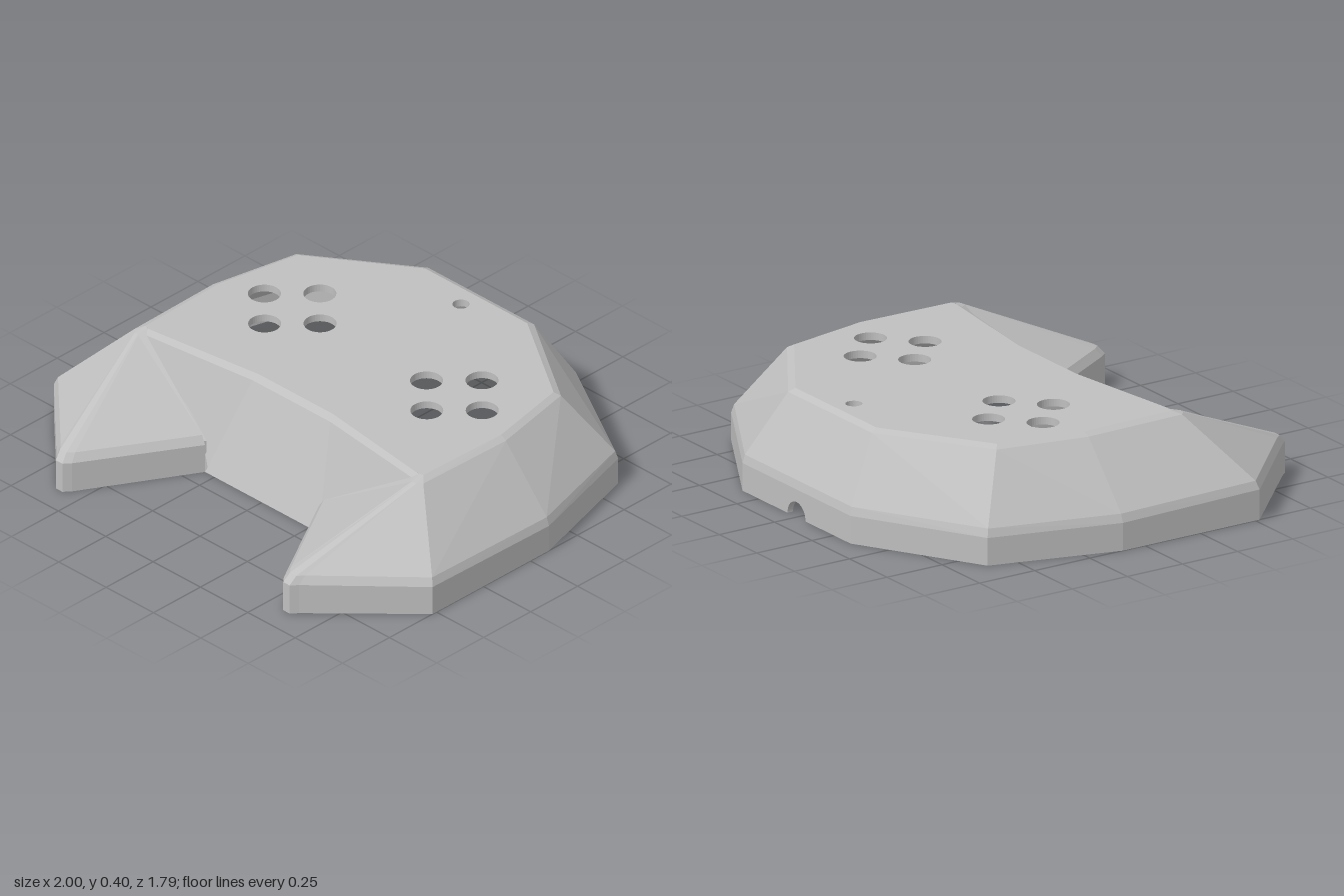
import * as THREE from 'three';

const TOP = 0.4, PLATE = 0.03;

// Half outline from back to front: [base x, base z, shoulder y, top x, top z]
const OUTER = [
  [0.36, -0.9, 0.13, 0.275, -0.74],
  [0.855, -0.615, 0.13, 0.69, -0.46],
  [1, -0.1, 0.13, 0.76, -0.1],
  [1, 0.52, 0.14, 0.75, 0.32],
  [0.64, 0.868, 0.145, 0.75, 0.32],
  [0.617, 0.895, 0.145, 0.745, 0.32],
  [0.583, 0.895, 0.145, 0.735, 0.32],
  [0.56, 0.868, 0.145, 0.73, 0.325],
  [0.3, 0.42, 0.14, 0.72, 0.325],
  [0.3, 0.42, 0, 0.2, 0.255],
];
const INNER = [
  [0.352, -0.875, 0.12, 0.265, -0.72],
  [0.838, -0.597, 0.12, 0.675, -0.45],
  [0.976, -0.1, 0.12, 0.74, -0.1],
  [0.976, 0.51, 0.12, 0.725, 0.3],
  [0.62, 0.845, 0.12, 0.725, 0.3],
  [0.61, 0.862, 0.12, 0.725, 0.3],
  [0.59, 0.862, 0.12, 0.72, 0.3],
  [0.58, 0.845, 0.12, 0.715, 0.3],
  [0.317, 0.396, 0.12, 0.7, 0.3],
  [0.317, 0.396, 0, 0.2, 0.232],
];

const mirrored = (half) => [...half, ...half.map(([bx, bz, s, tx, tz]) => [-bx, bz, s, -tx, tz]).reverse()];
const inset = (x, z) => [x * 0.98, -0.2 + (z + 0.2) * 0.965];

// Points up the wall at one outline corner, with narrow chamfers at shoulder and top
function outerProfile([bx, bz, s, tx, tz]) {
  const base = new THREE.Vector3(bx, 0, bz);
  const shoulder = new THREE.Vector3(bx, s, bz);
  const top = new THREE.Vector3(tx, TOP, tz);
  const [ix, iz] = inset(tx, tz);
  return [
    base,
    new THREE.Vector3(bx, Math.max(0, s - 0.02), bz),
    shoulder.clone().lerp(top, 0.05),
    shoulder.clone().lerp(top, 0.95),
    new THREE.Vector3(ix, TOP, iz),
  ];
}

function innerProfile([bx, bz, s, tx, tz]) {
  return [
    new THREE.Vector3(bx, 0, bz),
    new THREE.Vector3(bx, s, bz),
    new THREE.Vector3(tx, TOP - PLATE, tz),
  ];
}

function trianglesToGeometry(tris) {
  const g = new THREE.BufferGeometry().setFromPoints(tris);
  g.computeVertexNormals();
  return g;
}

// Skins neighbouring profiles; the lowest back panel is left open for the cable panel
function skin(profiles, flip) {
  const tris = [], n = profiles.length;
  const add = (a, b, c) => tris.push(...(flip ? [a, c, b] : [a, b, c]));
  for (let i = 0; i < n; i++) {
    const p = profiles[i], q = profiles[(i + 1) % n];
    for (let k = i === n - 1 ? 1 : 0; k < p.length - 1; k++) {
      const a = p[k], b = p[k + 1], c = q[k + 1], d = q[k];
      if (i < n / 2) { add(a, b, d); add(b, c, d); }
      else { add(a, b, c); add(a, c, d); }
    }
  }
  return trianglesToGeometry(tris);
}

export function createModel() {
  const group = new THREE.Group();
  const grey = new THREE.MeshStandardMaterial({ color: 0xbfbfbf, side: THREE.DoubleSide });
  grey.name = 'shell grey';
  const add = (name, geometry) => {
    const m = new THREE.Mesh(geometry, grey);
    m.name = name;
    group.add(m);
    return m;
  };

  // Hollow walls
  const outer = mirrored(OUTER).map(outerProfile);
  const inner = mirrored(INNER).map(innerProfile);
  add('outerWalls', skin(outer, false));
  add('innerWalls', skin(inner, true));

  // Bottom rim joining both walls
  const rim = [];
  for (let i = 0; i < outer.length - 1; i++) {
    const a = outer[i][0], b = outer[i + 1][0], c = inner[i + 1][0], d = inner[i][0];
    rim.push(a, b, c, a, c, d);
  }
  add('bottomRim', trianglesToGeometry(rim));

  // Top plate with button and light holes
  const corners = mirrored(OUTER.filter((e, i) => i < 4 || i > 7)).map((e) => {
    const [x, z] = inset(e[3], e[4]);
    return new THREE.Vector2(x, -z);
  });
  const plate = new THREE.Shape(corners);
  const hole = (x, z, r) => plate.holes.push(new THREE.Path().absarc(x, -z, r, 0, Math.PI * 2, true));
  for (const side of [-1, 1]) {
    for (const [dx, dz] of [[0, -0.147], [0, 0.147], [-0.147, 0], [0.147, 0]]) {
      hole(side * 0.428 + dx, -0.173 + dz, 0.062);
    }
  }
  hole(0, -0.64, 0.032);
  const plateGeo = new THREE.ExtrudeGeometry(plate, { depth: PLATE, bevelEnabled: false, curveSegments: 20 });
  plateGeo.rotateX(-Math.PI / 2);
  add('topPlate', plateGeo).position.y = TOP - PLATE;

  // Back panel with an arched cable notch
  const w = 0.36, h = 0.11, r = 0.06;
  const panel = new THREE.Shape();
  panel.moveTo(-w, 0);
  panel.lineTo(-r, 0);
  panel.absarc(0, 0, r, Math.PI, 0, true);
  panel.lineTo(w, 0);
  panel.lineTo(w, h);
  panel.lineTo(-w, h);
  panel.closePath();
  const panelGeo = new THREE.ExtrudeGeometry(panel, { depth: 0.025, bevelEnabled: false, curveSegments: 16 });
  add('cablePanel', panelGeo).position.z = -0.9;

  return group;
}
